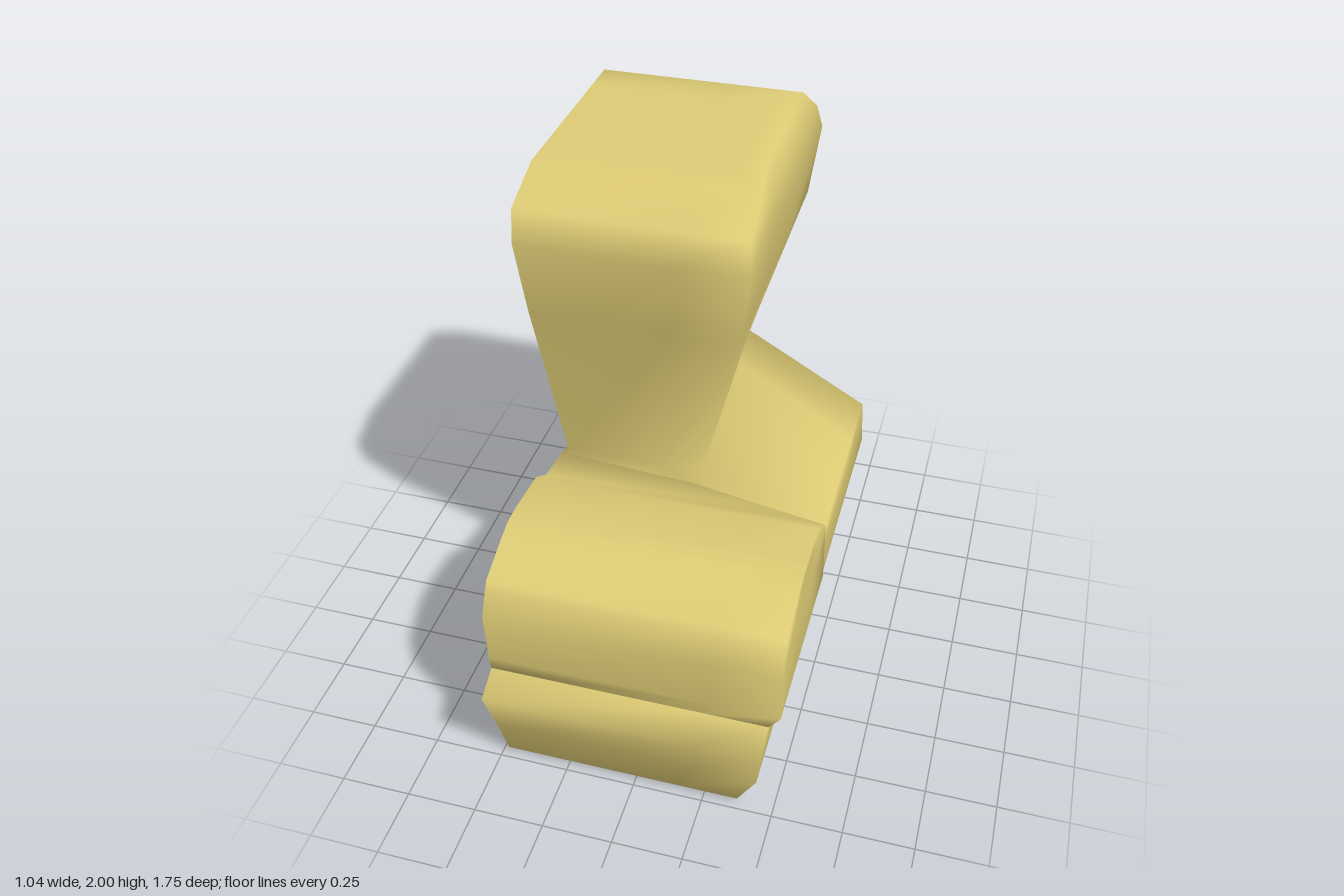
import * as THREE from 'three';

const lerp = THREE.MathUtils.lerp;

// One rounded-shaded outline, from front -x corner round to back -x corner.
// yf: height of the front edge, zbL: back depth at the -x end
function outline([y, x0, x1, zb, zf, yf = y, zbL = zb]) {
  const xi = x1 - Math.min(0.22, (x1 - x0) * 0.3);
  const inset = Math.min(0.32, (zf - zb) * 0.3);
  const zbI = lerp(zbL, zb, (xi - x0) / (x1 - x0));
  return [
    [x0, yf, zf], [xi, yf, zf], [x1, yf, zf],
    [x1, lerp(yf, y, 0.75), zf - inset], [x1, y, zb + inset],
    [x1, y, zb], [xi, y, zbI], [x0, y, zbL],
  ];
}

// Smooth sheet through rows of points, with optional end faces
function sheet(rows, ends) {
  const n = rows[0].length, index = [];
  for (let r = 0; r < rows.length - 1; r++) {
    for (let i = 0; i < n - 1; i++) {
      const a = r * n + i, d = a + n;
      index.push(a, a + 1, d + 1, a, d + 1, d);
    }
  }
  if (ends) {
    const t = (rows.length - 1) * n;
    for (let i = 1; i < n - 1; i++) index.push(0, i + 1, i, t, t + i, t + i + 1);
  }
  const g = new THREE.BufferGeometry();
  g.setAttribute('position', new THREE.Float32BufferAttribute(rows.flat(2), 3));
  g.setIndex(index);
  g.computeVertexNormals();
  return g;
}

export function createModel() {
  const model = new THREE.Group();
  const sand = new THREE.MeshStandardMaterial({ color: 0xdcca74, side: THREE.DoubleSide });
  sand.name = 'sand';

  // Lofted part: rounded shell plus a hard flat face on the -x side
  function part(name, levels) {
    const rows = levels.map(outline);
    const group = new THREE.Group();
    group.name = name;
    const shell = new THREE.Mesh(sheet(rows, true), sand);
    shell.name = name + 'Shell';
    const flat = new THREE.Mesh(sheet(rows.map((r) => [r[7], r[0]]), false), sand);
    flat.name = name + 'FlatSide';
    group.add(shell, flat);
    model.add(group);
  }

  // Levels: y, x0, x1, back z, front z, front y, back z at the -x end
  part('baseAndTower', [
    // base with its ridge
    [0.005, -0.48, 0.3, -0.62, 0.62],
    [0.02, -0.48, 0.37, -0.72, 0.72],
    [0.22, -0.48, 0.45, -0.75, 0.79],
    [0.45, -0.48, 0.48, -0.75, 0.88],
    [0.5, -0.48, 0.48, -0.71, 0.78],
    [0.56, -0.48, 0.515, -0.72, 0.77],
    [0.7, -0.48, 0.515, -0.67, 0.7],
    // shoulder and waist
    [0.8, -0.475, 0.515, -0.63, 0.15],
    [1.0, -0.46, 0.04, -0.72, 0, 0.85],
    // flaring tower
    [1.55, -0.495, 0.21, -0.87, 0.18],
    [1.82, -0.515, 0.25, -0.865, 0.22],
    [1.93, -0.52, 0.24, -0.79, 0.19],
    [2.0, -0.52, 0.2, -0.73, 0],
    [2.0, -0.52, 0.1, -0.6, -0.1],
  ]);

  // Raised hump on the front of the base
  part('frontHump', [
    [0.5, -0.48, 0.48, 0.1, 0.78],
    [0.56, -0.48, 0.52, 0.1, 0.79],
    [0.76, -0.48, 0.52, 0.12, 0.8],
    [0.835, -0.48, 0.52, 0.14, 0.76, 0.835, -0.05],
    [0.87, -0.48, 0.52, 0.18, 0.74],
    [0.93, -0.48, 0.52, 0.27, 0.59],
    [0.948, -0.48, 0.52, 0.46, 0.53],
  ]);

  return model;
}
